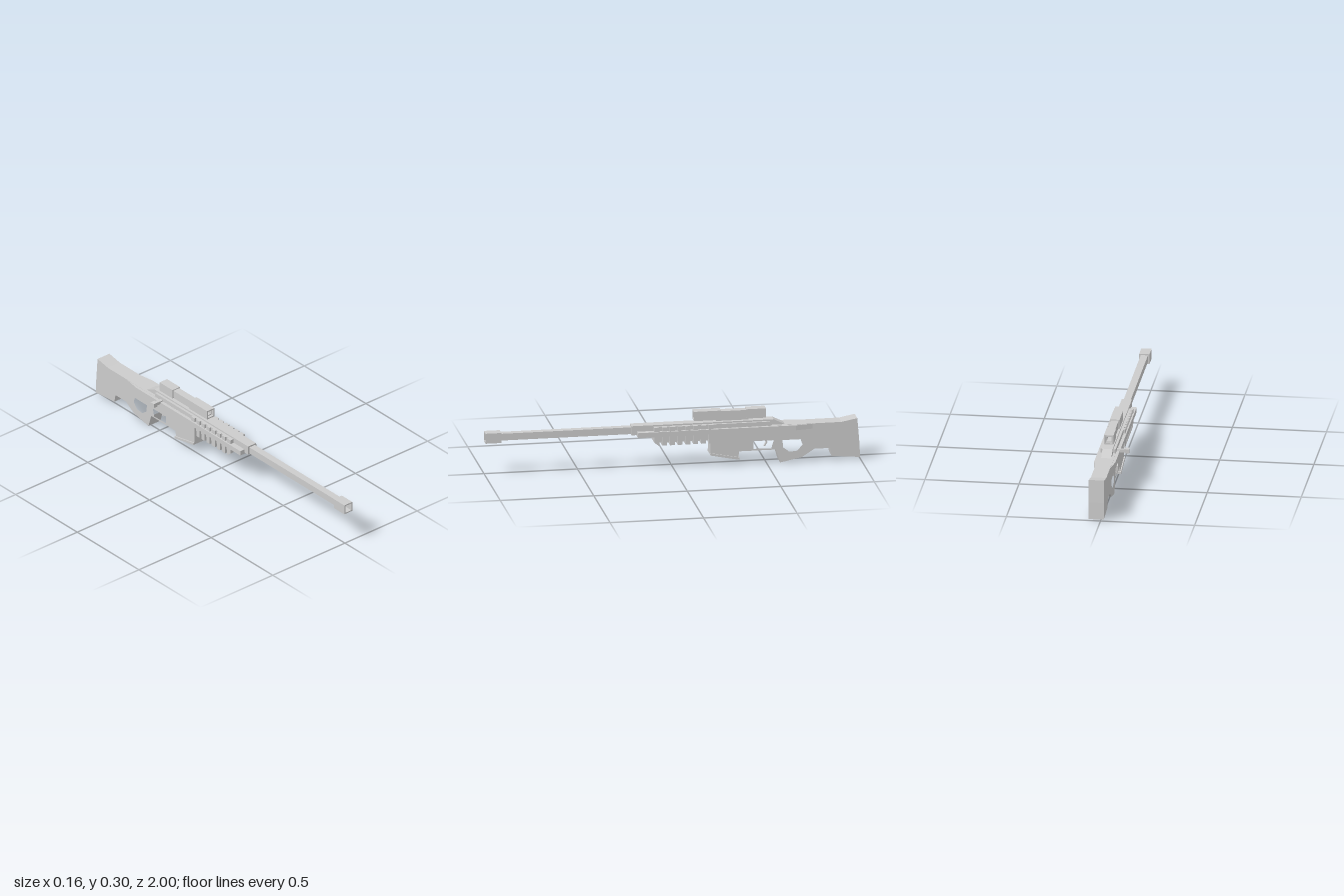
import * as THREE from 'three';

const CX = 0.0235; // centre plane of the body in x
const mat = new THREE.MeshStandardMaterial({ color: 0xcccccc, flatShading: true });

function add(group, name, geometry) {
  const mesh = new THREE.Mesh(geometry, mat);
  mesh.name = name;
  group.add(mesh);
  return mesh;
}

// Box given by its limits
function box(group, name, x0, x1, y0, y1, z0, z1) {
  const g = new THREE.BoxGeometry(x1 - x0, y1 - y0, z1 - z0);
  g.translate((x0 + x1) / 2, (y0 + y1) / 2, (z0 + z1) / 2);
  return add(group, name, g);
}

// Box symmetric about the body's centre plane
const midBox = (group, name, half, y0, y1, z0, z1) =>
  box(group, name, CX - half, CX + half, y0, y1, z0, z1);

const toPoints = (list) => list.map(([a, b]) => new THREE.Vector2(a, b));

// Side profile of (z, y) points, extruded across x
function profile(group, name, half, points, holes = []) {
  const shape = new THREE.Shape(toPoints(points));
  holes.forEach((h) => shape.holes.push(new THREE.Path(toPoints(h))));
  const g = new THREE.ExtrudeGeometry(shape, { depth: 2 * half, bevelEnabled: false });
  g.translate(0, 0, -half).rotateY(-Math.PI / 2).translate(CX, 0, 0);
  return add(group, name, g);
}

const square = (h) => [[-h, -h], [h, -h], [h, h], [-h, h]];

// Square tube running along z
function squareTube(group, name, outer, inner, y, z0, z1) {
  const shape = new THREE.Shape(toPoints(square(outer)));
  shape.holes.push(new THREE.Path(toPoints(square(inner))));
  const g = new THREE.ExtrudeGeometry(shape, { depth: z1 - z0, bevelEnabled: false });
  g.translate(CX, y, z0);
  return add(group, name, g);
}

export function createModel() {
  const model = new THREE.Group();
  model.name = 'rifle';

  // Stock with grip hole and trigger opening
  profile(model, 'stock', 0.041, [
    [-0.2, 0.205], [-0.2, 0.064], [-0.35, 0.04], [-0.352, 0.072], [-0.55, 0.072],
    [-0.572, 0.0], [-0.6, 0.005], [-0.69, 0.024], [-0.755, 0.066], [-0.84, 0.066],
    [-0.848, 0.022], [-1.0, 0.008], [-0.995, 0.1], [-0.985, 0.222], [-0.9, 0.206], [-0.6, 0.205],
  ], [
    [[-0.43, 0.124], [-0.43, 0.082], [-0.525, 0.08], [-0.538, 0.124]],
    [[-0.585, 0.122], [-0.588, 0.082], [-0.622, 0.056], [-0.664, 0.06], [-0.692, 0.092], [-0.682, 0.122]],
  ]);

  // Curved trigger inside the guard
  profile(model, 'trigger', 0.008, [
    [-0.493, 0.126], [-0.502, 0.105], [-0.49, 0.084], [-0.498, 0.084], [-0.51, 0.105], [-0.504, 0.126],
  ]);

  // Magazine floor with sloping underside
  profile(model, 'magazine', 0.047, [
    [-0.2, 0.07], [-0.2, 0.058], [-0.354, 0.027], [-0.354, 0.04],
  ]);

  // Side plates, tapering into the stock at the rear
  const plan = new THREE.Shape(toPoints([
    [-0.0565, 0.19], [-0.0565, -0.655], [-0.041, -0.745],
    [0.041, -0.745], [0.0565, -0.655], [0.0565, 0.19],
  ]));
  const plate = new THREE.ExtrudeGeometry(plan, { depth: 0.027, bevelEnabled: false });
  plate.rotateX(Math.PI / 2).translate(CX, 0.204, 0);
  add(model, 'sidePlate', plate);

  // Receiver body and its sloping top ridge
  midBox(model, 'receiver', 0.04, 0.19, 0.227, -0.52, 0.1);
  profile(model, 'topRidge', 0.027, [
    [0.22, 0.185], [-0.6, 0.185], [-0.6, 0.205], [-0.54, 0.235], [0.22, 0.235],
  ]);

  // Handguard core, keel and cooling ribs
  midBox(model, 'handguard', 0.04, 0.147, 0.19, -0.2, 0.1);
  profile(model, 'handguardKeel', 0.0205, [
    [0.1, 0.15], [0.075, 0.135], [-0.2, 0.135], [-0.2, 0.15],
  ]);
  for (let i = 0; i < 8; i++) {
    const z = 0.088 - i * 0.0415;
    if (i === 0) {
      profile(model, 'rib', 0.05, [
        [0.102, 0.227], [0.102, 0.145], [0.078, 0.127], [0.075, 0.127], [0.075, 0.227],
      ]);
    } else {
      midBox(model, 'rib', 0.05, 0.127, 0.227, z - 0.013, z + 0.013);
    }
  }

  // Barrel and hollow muzzle brake
  midBox(model, 'barrel', 0.019, 0.19, 0.227, 0.2, 0.93);
  squareTube(model, 'muzzleBrake', 0.0275, 0.021, 0.2065, 0.915, 1.0);
  midBox(model, 'muzzleBack', 0.0225, 0.185, 0.228, 0.916, 0.945);

  // Scope: see-through square tube with larger ends
  const scope = new THREE.Group();
  scope.name = 'scope';
  model.add(scope);
  squareTube(scope, 'scopeTube', 0.0205, 0.013, 0.271, -0.49, -0.13);
  squareTube(scope, 'scopeFront', 0.0255, 0.0185, 0.271, -0.26, -0.115);
  squareTube(scope, 'scopeRear', 0.0255, 0.0185, 0.271, -0.5, -0.395);
  midBox(scope, 'scopeMount', 0.0075, 0.23, 0.252, -0.41, -0.235);

  // Bolt handle on the right side
  box(model, 'boltShaft', -0.058, 0.0, 0.195, 0.211, -0.475, -0.457);
  box(model, 'boltKnob', -0.082, -0.057, 0.191, 0.215, -0.479, -0.453);

  return model;
}
